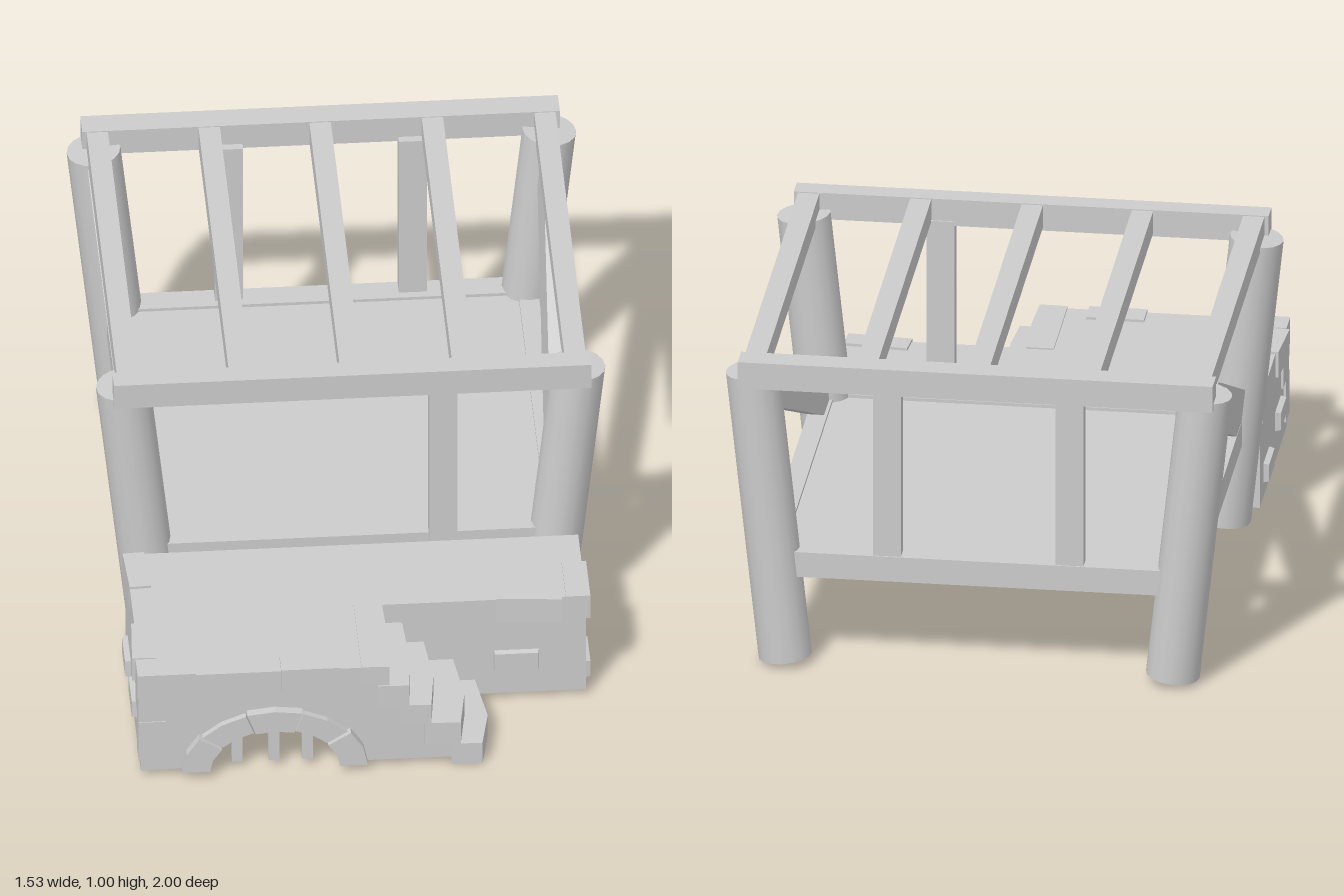
import * as THREE from 'three';

const mat = new THREE.MeshStandardMaterial({ color: 0xcccccc });
const flat = new THREE.MeshStandardMaterial({ color: 0xcccccc, flatShading: true });

// x position of the leaning post axis at height y
const lean = (y) => 0.583 + (y - 0.015) * 0.107;

export function createModel() {
  const root = new THREE.Group();

  const add = (name, geo, parent = root, m = flat) => {
    const mesh = new THREE.Mesh(geo, m);
    mesh.name = name;
    parent.add(mesh);
    return mesh;
  };
  // Box given by its limits, optionally turned about y
  const box = (name, [x0, x1], [y0, y1], [z0, z1], turn = 0, parent = root) => {
    const b = add(name, new THREE.BoxGeometry(x1 - x0, y1 - y0, z1 - z0), parent);
    b.position.set((x0 + x1) / 2, (y0 + y1) / 2, (z0 + z1) / 2);
    b.rotation.y = turn;
    return b;
  };
  const extrude = (pts, depth, holes = []) => {
    const shape = new THREE.Shape(pts.map(([x, y]) => new THREE.Vector2(x, y)));
    shape.holes = holes;
    return new THREE.ExtrudeGeometry(shape, { depth, bevelEnabled: false });
  };
  // Brick whose outer face is slightly smaller than its base
  const brick = (name, w, h, x, y, z, turn) => {
    const d = 0.04;
    const geo = new THREE.BoxGeometry(w, h, d);
    const p = geo.attributes.position;
    for (let i = 0; i < p.count; i++) {
      if (p.getZ(i) > 0) p.setXY(i, p.getX(i) * (1 - 0.016 / w), p.getY(i) * (1 - 0.016 / h));
    }
    const b = add(name, geo);
    b.position.set(x, y, z);
    b.rotation.y = turn;
  };

  // ---- Timber frame ----
  for (const s of [1, -1]) {
    for (const z of [0.27, -0.91]) {
      const a = new THREE.Vector3(s * lean(0.02), 0.02, z);
      const b = new THREE.Vector3(s * lean(0.94), 0.94, z);
      const post = add('post', new THREE.CylinderGeometry(0.081, 0.081, a.distanceTo(b), 16), root, mat);
      post.position.copy(a).lerp(b, 0.5);
      post.quaternion.setFromUnitVectors(new THREE.Vector3(0, 1, 0), b.clone().sub(a).normalize());
    }

    // Diagonal brace, sheared to follow the lean of the posts
    const brace = extrude([[0.2, 0.35], [0.2, 0.47], [-0.79, 0.925], [-0.83, 0.925],
      [-0.83, 0.79], [0.09, 0.365]], 0.05);
    const p = brace.attributes.position;
    for (let i = 0; i < p.count; i++) {
      const [z, y, t] = [p.getX(i), p.getY(i), p.getZ(i)];
      p.setXYZ(i, s * lean(y) - t + 0.025, y, z);
    }
    brace.computeVertexNormals();
    add('diagonalBrace', brace);

    const c = s * lean(0.33);
    box('sideFloorRail', [c - 0.03, c + 0.03], [0.29, 0.37], [-0.845, 0.2]);
  }

  // Roof beams and rafters
  box('frontRoofBeam', [-0.715, 0.715], [0.915, 1], [0.29, 0.357]);
  box('backRoofBeam', [-0.715, 0.715], [0.915, 1], [-1, -0.92]);
  for (const x of [-0.67, -0.335, -0.003, 0.333, 0.67]) {
    box('rafter', [x - 0.032, x + 0.032], [0.925, 0.997], [-0.93, 0.3]);
  }

  // Floor and its cross rails
  box('floor', [-0.6, 0.6], [0.315, 0.36], [-0.92, 0.3]);
  box('backFloorRail', [-0.57, 0.57], [0.29, 0.37], [-0.95, -0.87]);
  box('frontFloorRail', [-0.57, 0.57], [0.29, 0.37], [0.24, 0.31]);

  // Upright studs
  for (const [x, z] of [[-0.277, -0.945], [0.273, -0.945], [0.273, 0.285]]) {
    box('stud', [x - 0.042, x + 0.042], [0.35, 0.93], [z, z + 0.05]);
  }

  // ---- Stone base ----
  const base = new THREE.Group();
  base.name = 'stoneBase';
  root.add(base);
  box('rearBlock', [-0.68, 0.675], [0.022, 0.368], [0.352, 0.66], 0, base);

  // Gatehouse block with an arched passage, open at the bottom
  const gateX = -0.28, gateY = 0.025;
  const arc = (rx, ry, t) => [gateX + rx * Math.cos(t), gateY + ry * Math.sin(t)];
  const opening = [];
  for (let i = 0; i <= 10; i++) opening.push(arc(0.2, 0.145, Math.PI * (1 - i / 10)));
  const gatehouse = add('gatehouse', extrude([[-0.68, 0.022], ...opening, [-0.01, 0.022],
    [-0.01, 0.368], [-0.68, 0.368]], 0.31), base);
  gatehouse.position.z = 0.66;

  // Arch stones, the keystone and every second stone a little proud
  for (let i = 0; i < 5; i++) {
    const t0 = (Math.PI * i) / 5, t1 = (Math.PI * (i + 1)) / 5, tm = (t0 + t1) / 2;
    const g = 0.012;
    const proud = i % 2 ? 0 : 0.008;
    const stone = add('archStone', extrude([
      arc(0.195, 0.14, t0 + g), arc(0.27 + proud, 0.205 + proud, t0 + g),
      arc(0.27 + proud, 0.205 + proud, tm), arc(0.27 + proud, 0.205 + proud, t1 - g),
      arc(0.195, 0.14, t1 - g), arc(0.195, 0.14, tm)], 0.07 + proud), base);
    stone.position.z = 0.92;
  }
  // Gate bars
  for (const x of [-0.39, -0.28, -0.18]) {
    box('gateBar', [x - 0.016, x + 0.016], [0.025, 0.165], [0.92, 0.95], 0, base);
  }

  // Stairs: treads with a bowed outer edge over a stepped core
  const steps = [[-0.02, 0.07, 0.305, 0.373], [0.03, 0.135, 0.225, 0.3], [0.1, 0.205, 0.155, 0.225],
    [0.17, 0.298, 0.075, 0.155], [0.25, 0.368, 0, 0.075]];
  steps.forEach(([x0, x1, y0, y1], i) => {
    const bow = 0.006 + i * 0.005;
    const tread = add('stairTread', extrude([[x0, -0.975], [x1 - bow, -0.978], [x1, -0.84],
      [x1 - bow, -0.655], [x0, -0.655]], y1 - y0), base);
    tread.rotation.x = -Math.PI / 2;
    tread.position.y = y0;
    if (i < 4) box('stairCore', [i ? x0 : -0.015, x1 - 0.03], [0.022, y0 + 0.01], [0.65, 0.967], 0, base);
  });

  // Edge stones along the top: x, y, z limits and a slight turn
  const top = [0.293, 0.376];
  for (const [x, y, z, turn] of [
    [[-0.69, -0.515], top, [0.89, 0.975], 0],
    [[-0.26, -0.085], top, [0.895, 0.977], 0],
    [[-0.695, -0.62], top, [0.71, 0.885], -0.06],
    [[-0.685, -0.62], top, [0.355, 0.525], 0.05],
    [[0.41, 0.605], top, [0.6, 0.675], -0.08],
    [[0.615, 0.688], top, [0.495, 0.67], 0],
    [[-0.687, -0.605], [0.065, 0.205], [0.9, 0.977], 0],
    [[-0.687, -0.605], [0.2, 0.295], [0.84, 0.974], 0],
  ]) box('edgeStone', x, y, z, turn, base);

  // Raised bricks on the walls
  const side = Math.PI / 2;
  brick('frontBrick', 0.145, 0.08, 0.467, 0.145, 0.657, 0);
  brick('rightBrick', 0.135, 0.066, 0.672, 0.243, 0.437, side);
  brick('rightBrick', 0.14, 0.07, 0.672, 0.066, 0.555, side);
  brick('leftBrick', 0.14, 0.07, -0.677, 0.15, 0.77, -side);
  brick('leftBrick', 0.14, 0.07, -0.677, 0.1, 0.5, -side);

  return root;
}
